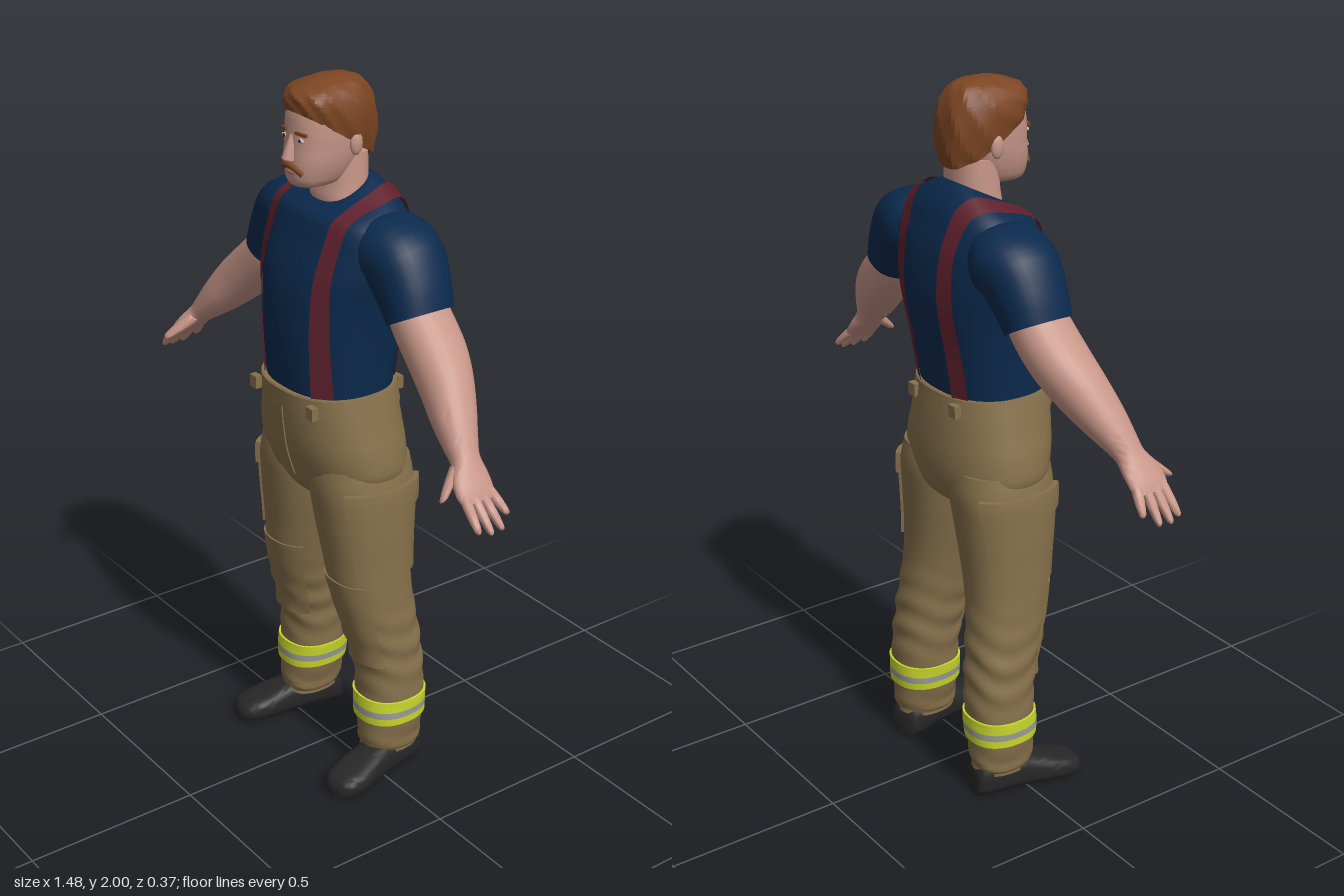
import * as THREE from 'three';
import { toCreasedNormals } from 'three/addons/utils/BufferGeometryUtils.js';

const mat = (name, color, side = THREE.FrontSide) => {
  const m = new THREE.MeshStandardMaterial({ color, side });
  m.name = name;
  return m;
};
const TAU = Math.PI * 2;

// A ring is nine numbers: centre, half-axis u, half-axis v.
// Level ring from [y, xMin, xMax, zFront, zBack, forward tilt]
const level = ([y, x0, x1, zf, zb, tilt = 0]) => {
  const h = (zf - zb) / 2;
  return [(x0 + x1) / 2, y, (zf + zb) / 2, (x1 - x0) / 2, 0, 0, 0, tilt * h, -h];
};
const levelSym = ([y, w, ...rest]) => level([y, -w, w, ...rest]);

// Rings across a limb path of [x, y, z, half thickness, half width along z]
const limb = (rows) => rows.map(([x, y, z, t, w], i) => {
  const a = rows[Math.max(0, i - 1)], b = rows[Math.min(rows.length - 1, i + 1)];
  const l = Math.hypot(b[0] - a[0], b[1] - a[1]);
  return [x, y, z, -(b[1] - a[1]) / l * t, (b[0] - a[0]) / l * t, 0, 0, 0, w];
});

// Smooth interpolation between rings, s from 0 to 1
function ringAt(rings, s) {
  const n = rings.length - 1, f = Math.min(s * n, n - 1e-9), i = Math.floor(f), t = f - i;
  const at = (k) => rings[Math.max(0, Math.min(n, k))];
  return rings[0].map((_, k) => {
    const a = at(i - 1)[k], b = at(i)[k], c = at(i + 1)[k], d = at(i + 2)[k];
    return b + 0.5 * t * (c - a + t * (2 * a - 5 * b + 4 * c - d + t * (3 * (b - c) + d - a)));
  });
}
const bisect = (test, lo = 0, hi = 1) => {
  for (let i = 0; i < 40; i++) { const m = (lo + hi) / 2; if (test(m)) lo = m; else hi = m; }
  return lo;
};
const heightAt = (rings, y) => bisect((s) => ringAt(rings, s)[1] < y);

function pointAt(r, a, n, out = 0) {
  const pw = (v) => Math.sign(v) * Math.abs(v) ** (2 / n);
  const lu = Math.hypot(r[3], r[4], r[5]), lv = Math.hypot(r[6], r[7], r[8]);
  const p = pw(Math.cos(a)) * (1 + out / lu), q = pw(Math.sin(a)) * (1 + out / lv);
  return [0, 1, 2].map((k) => r[k] + r[3 + k] * p + r[6 + k] * q);
}

// Skin over rings; with "out" it makes a raised panel over part of that skin
function loft(rings, { seg = 32, steps = (rings.length - 1) * 4, n = 2.3, s0 = 0, s1 = 1,
  a0 = 0, a1 = TAU, out = 0, side = 1, wobble = null, crease = 0.8 } = {}) {
  const full = a1 - a0 > TAU - 0.01;
  const range = (lo, hi, m, edge) => {
    const r = Array.from({ length: m + 1 }, (_, i) => [lo + (hi - lo) * i / m, 1]);
    return edge ? [[lo, 0], ...r, [hi, 0]] : r;
  };
  const rows = range(s0, s1, steps, out > 0), cols = range(a0, a1, seg, out > 0 && !full);
  const pos = [], idx = [], w = cols.length;
  for (const [s, es] of rows) {
    const r = ringAt(rings, s);
    for (const [a, ea] of cols) {
      const p = pointAt(r, a, n, out * es * ea + (wobble ? wobble(a, s) : 0));
      pos.push(p[0] * side, p[1], p[2]);
    }
  }
  const tri = (a, b, c) => (side > 0 ? idx.push(a, b, c) : idx.push(a, c, b));
  for (let j = 0; j < rows.length - 1; j++) for (let i = 0; i < w - 1; i++) {
    const a = j * w + i;
    tri(a, a + 1, a + w + 1);
    tri(a, a + w + 1, a + w);
  }
  if (!out) for (const end of [0, 1]) {
    const r = ringAt(rings, end), c = pos.length / 3, o = end * (rows.length - 1) * w;
    pos.push(r[0] * side, r[1], r[2]);
    for (let i = 0; i < w - 1; i++) end ? tri(o + i, o + i + 1, c) : tri(o + i + 1, o + i, c);
  }
  const g = new THREE.BufferGeometry();
  g.setAttribute('position', new THREE.Float32BufferAttribute(pos, 3));
  g.setIndex(idx);
  return toCreasedNormals(g, crease);
}

export function createModel() {
  const model = new THREE.Group();
  const skin = mat('skin', 0xc69587), navy = mat('shirt navy', 0x0b2a4d), tan = mat('trouser tan', 0x86704b);
  const red = mat('suspender red', 0x5e202c, THREE.DoubleSide), hair = mat('hair brown', 0x7c4522);
  const black = mat('boot black', 0x272727), yellow = mat('safety yellow', 0xccdb2c);
  const grey = mat('reflective grey', 0x9c9d98), white = mat('eye white', 0xd8d0c8), lip = mat('lip', 0x9d6459);
  const add = (name, geo, m, x = 0, y = 0, z = 0) => {
    const mesh = new THREE.Mesh(geo, m);
    mesh.name = name;
    mesh.position.set(x, y, z);
    model.add(mesh);
    return mesh;
  };

  // Shirt body with a scooped neck
  const torso = [[1.14, .175, .162, -.13], [1.3, .189, .17, -.155], [1.42, .205, .165, -.178],
    [1.5, .225, .15, -.18], [1.58, .235, .12, -.17], [1.63, .225, .102, -.155],
    [1.665, .19, .09, -.138, .14], [1.69, .135, .078, -.11, .35], [1.705, .088, .06, -.088, .5]].map(levelSym);
  const TN = 2.4;
  add('shirt', loft(torso, { seg: 48, n: TN }), navy);

  // Suspender half: a ribbon lying on the shirt from waist to shoulder
  function strap(side, front) {
    const pos = [], idx = [], steps = 24, s0 = heightAt(torso, 1.155);
    for (let i = 0; i <= steps; i++) {
      const f = i / steps;
      for (const e of [-.023, .023]) {
        const top = bisect((s) => ringAt(torso, s)[3] > .145 + e, .5, 1);
        const x = (front ? .13 + .015 * f : .095 + .05 * f ** 2) + e;
        const r = ringAt(torso, top - (top - s0) * (1 - f) ** 2);
        const a = Math.acos(Math.min(1, x / r[3]) ** (TN / 2)) * (front ? -1 : 1);
        const p = pointAt(r, a, TN);
        pos.push(p[0] * side, p[1] + .008 * f, p[2] - .009 * Math.sin(a));
      }
      if (i < steps) idx.push(2 * i, 2 * i + 1, 2 * i + 3, 2 * i, 2 * i + 3, 2 * i + 2);
    }
    const g = new THREE.BufferGeometry();
    g.setAttribute('position', new THREE.Float32BufferAttribute(pos, 3));
    g.setIndex(side * (front ? 1 : -1) > 0 ? idx : idx.reverse());
    g.computeVertexNormals();
    return g;
  }

  // Trouser seat, waistband and fly
  const hips = [[.83, .05, .07, -.08], [.87, .15, .115, -.135], [.93, .232, .14, -.153], [1, .234, .16, -.157],
    [1.08, .214, .17, -.152], [1.175, .19, .176, -.143]].map(levelSym);
  add('trouserSeat', loft(hips, { seg: 40 }), tan);
  add('waistband', loft(hips, { seg: 40, steps: 4, s0: heightAt(hips, 1.125), s1: .995, out: .004 }), tan);
  add('fly', loft(hips, { seg: 6, steps: 8, s0: heightAt(hips, .91), s1: heightAt(hips, 1.125),
    a0: -1.9, a1: -1.55, out: .004 }), tan);

  const leg = [[.07, .13, .255, .03, -.138], [.1, .123, .262, .035, -.147], [.2, .102, .274, .038, -.154],
    [.3, .093, .273, .036, -.155], [.4, .083, .268, .05, -.147], [.5, .068, .262, .077, -.136],
    [.6, .048, .255, .1, -.127], [.7, .025, .251, .112, -.13], [.8, .004, .249, .125, -.139],
    [.9, -.01, .244, .135, -.149], [.97, -.005, .228, .13, -.142]].map(level);
  // Cloth folds, strongest round the knee and ankle
  const folds = (a, s) => .004 * Math.sin(s * 75 + 2 * Math.sin(a * 2 + 1)) *
    (Math.exp(-(((s - .4) / .12) ** 2)) + .7 * Math.exp(-(((s - .08) / .07) ** 2)));
  const arm = limb([[.27, 1.49, -.04, .065, .075], [.33, 1.42, -.037, .07, .08], [.4, 1.355, -.03, .071, .079],
    [.46, 1.3, -.015, .068, .071], [.52, 1.24, .007, .056, .06], [.57, 1.19, .025, .041, .046],
    [.6, 1.16, .035, .031, .04], [.628, 1.132, .045, .024, .053], [.655, 1.103, .049, .019, .056],
    [.675, 1.08, .049, .012, .05]]);
  const sleeve = limb([[.12, 1.55, -.045, .08, .08], [.19, 1.572, -.045, .098, .112], [.24, 1.555, -.045, .1, .107],
    [.283, 1.497, -.043, .09, .098], [.318, 1.432, -.04, .076, .09]]);
  const boot = [[-.15, .03, .05], [-.142, .046, .085], [-.11, .054, .11], [-.04, .052, .11], [.02, .053, .095],
    [.09, .06, .075], [.14, .056, .062], [.168, .043, .05], [.18, .022, .035]]
    .map(([z, w, h]) => [0, h / 2, z, w, 0, 0, 0, h / 2, 0]);
  const digit = (x0, y0, z0, x1, y1, z1, r) => limb([0, .35, .7, .93, 1].map((f, i) =>
    [x0 + (x1 - x0) * f, y0 + (y1 - y0) * f, z0 + (z1 - z0) * f, r * [1, 1, .85, .6, .2][i], r * [1, 1, .85, .6, .2][i]]));

  for (const side of [1, -1]) {
    const tag = side > 0 ? 'left' : 'right';
    add(tag + 'SuspenderFront', strap(side, true), red);
    add(tag + 'SuspenderBack', strap(side, false), red);
    for (const [x, z] of [[.13, .165], [.095, -.143]])
      add(tag + 'SuspenderButton', new THREE.BoxGeometry(.03, .035, .02), tan, x * side, 1.145, z);
    add(tag + 'Sleeve', loft(sleeve, { side }), navy);
    add(tag + 'Arm', loft(arm, { side, seg: 24 }), skin);

    // Fingers and thumb
    const tips = [[.715, 1.045, -.01], [.738, 1.022, .025], [.74, 1.02, .06], [.73, 1.027, .092]];
    tips.forEach(([x, y, z], i) => add(tag + 'Finger',
      loft(digit(.655, 1.103, .011 + i * .025, x, y, z, .0135), { side, seg: 10, steps: 8 }), skin));
    add(tag + 'Thumb', loft(digit(.595, 1.155, .06, .64, 1.09, .138, .017), { side, seg: 10, steps: 8 }), skin);

    // Trouser leg with reflective bands, knee patch and cargo pocket
    const h = (y) => heightAt(leg, y);
    const panel = (name, m, y0, y1, out, a0 = 0, a1 = TAU, seg = 36) => add(tag + name,
      loft(leg, { side, seg, steps: 8, s0: h(y0), s1: h(y1), a0, a1, out, wobble: folds, crease: .5 }), m);
    add(tag + 'TrouserLeg', loft(leg, { side, seg: 36, steps: 80, wobble: folds }), tan);
    panel('BandLower', yellow, .178, .2, .006);
    panel('BandMiddle', grey, .2, .22, .006);
    panel('BandUpper', yellow, .22, .252, .006);
    panel('KneePatch', tan, .37, .63, .005, -2.5, -.65, 16);
    panel('Pocket', tan, .65, .86, .008, -.85, .95, 16);
    panel('PocketFlap', tan, .85, .915, .014, -.9, 1, 16);
    add(tag + 'Boot', loft(boot, { side, n: 3, seg: 28 }), black, .21 * side).rotation.y = .2 * side;

    // Ear, eye and brow
    add(tag + 'Ear', new THREE.SphereGeometry(1, 12, 8), skin, .09 * side, 1.835, -.005).scale.set(.011, .032, .019);
    add(tag + 'Eye', new THREE.SphereGeometry(1, 12, 8), white, .034 * side, 1.85, .127).scale.set(.014, .006, .004);
    add(tag + 'Iris', new THREE.SphereGeometry(1, 10, 8), black, .034 * side, 1.85, .129).scale.set(.005, .005, .004);
    const brow = add(tag + 'Brow', new THREE.BoxGeometry(.036, .008, .009), hair, .036 * side, 1.867, .127);
    brow.rotation.set(0, .25 * side, -.1 * side);
  }

  // Neck, head and face
  add('neck', loft([[1.6, .09, .03, -.1], [1.67, .083, .05, -.082], [1.72, .079, .045, -.085],
    [1.8, .075, .04, -.085]].map(levelSym), { seg: 24 }), skin);
  add('head', loft([[1.72, .03, .115, .03], [1.728, .052, .128, 0], [1.75, .067, .136, -.035], [1.79, .08, .137, -.06],
    [1.83, .086, .133, -.085], [1.87, .088, .131, -.095], [1.92, .085, .124, -.098], [1.96, .068, .1, -.08],
    [1.98, .035, .06, -.04]].map(levelSym), { n: 2.4 }), skin);
  add('nose', new THREE.CylinderGeometry(.007, .019, .065, 8), skin, 0, 1.828, .134).rotation.x = -.2;
  const lipCurve = new THREE.QuadraticBezierCurve3(new THREE.Vector3(-.042, 1.762, .126),
    new THREE.Vector3(0, 1.802, .155), new THREE.Vector3(.042, 1.762, .126));
  add('moustache', new THREE.TubeGeometry(lipCurve, 14, .008, 8), hair);
  add('mouth', new THREE.SphereGeometry(1, 12, 8), lip, 0, 1.763, .134).scale.set(.022, .005, .007);

  // Hair with wavy locks, low at the nape and high at the brow
  const locks = (a, s) => .004 * Math.sin(a * 9 + s * 6) * Math.sin(s * 9 + a * 2);
  add('hair', loft([[1.848, .09, .132, -.101, -.62], [1.88, .096, .134, -.11, -.5], [1.92, .096, .132, -.111, -.3],
    [1.955, .085, .12, -.1, -.15], [1.982, .06, .095, -.072], [1.996, .025, .05, -.03]].map(levelSym),
    { seg: 44, steps: 22, wobble: locks, crease: .3 }), hair);
  return model;
}
